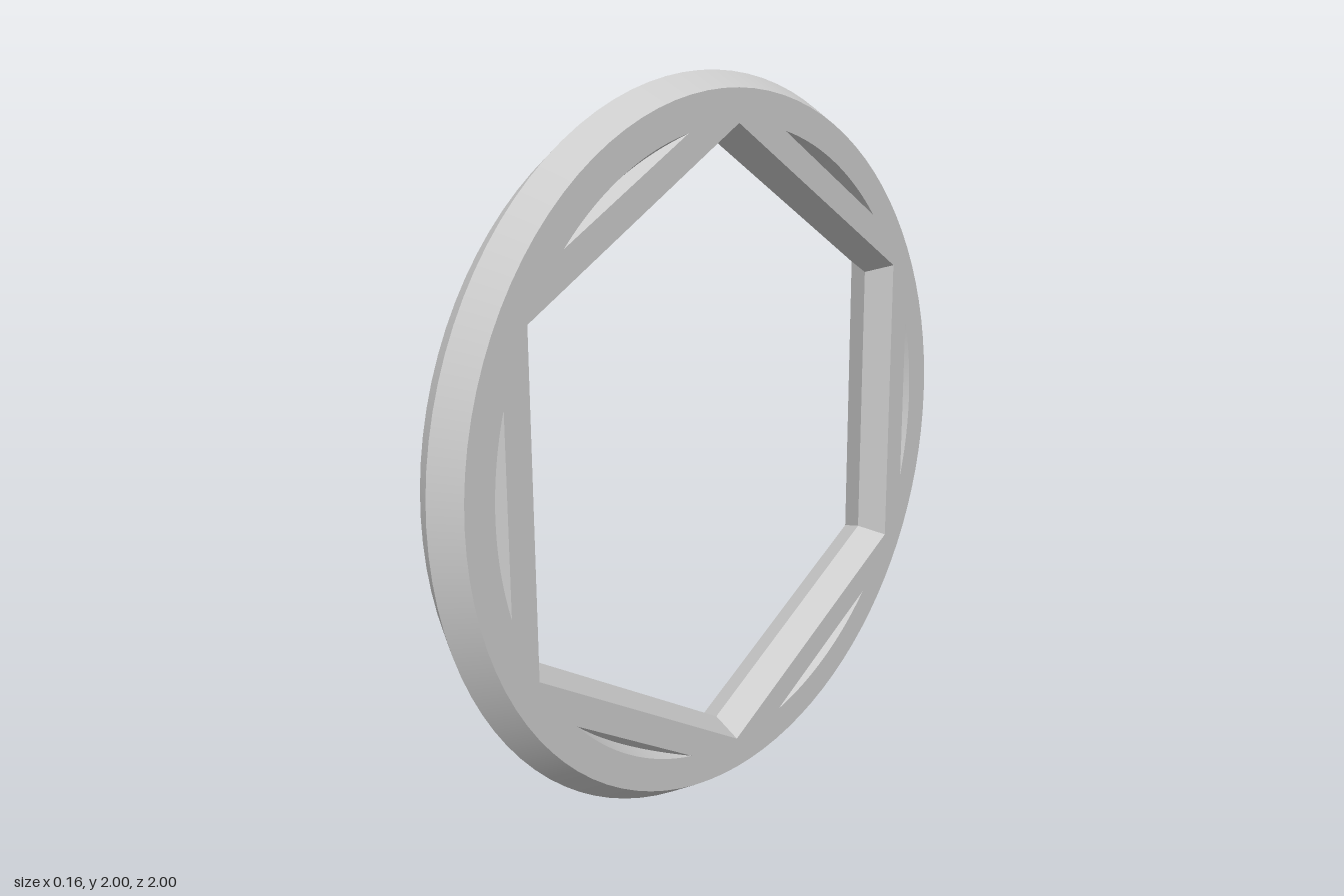
import * as THREE from 'three';

const HALF = 0.0775;               // half thickness
const RIM = 1, RIM_FACE = 0.955;   // outer radius at mid-plane and at the face
const HEX = 0.71, HEX_FACE = 0.75; // opening apothem at mid-plane and at the face
const ARC = 0.866, CHORD = 0.829;  // groove: outer arc radius and inner straight edge
const SLOPE = Math.tan(Math.PI / 6);
const SEG = 96, ARC_SEG = 24;

const material = new THREE.MeshStandardMaterial({ color: 0xcccccc });

function addMesh(parent, name, geometry) {
  const mesh = new THREE.Mesh(geometry, material);
  mesh.name = name;
  parent.add(mesh);
  return mesh;
}

// Ribbon of quads between two rows of points
function strip(rowA, rowB) {
  const n = rowA.length, index = [];
  for (let i = 0; i < n - 1; i++) index.push(i, n + i, n + i + 1, i, n + i + 1, i + 1);
  const g = new THREE.BufferGeometry().setFromPoints([...rowA, ...rowB]);
  g.setIndex(index);
  g.computeVertexNormals();
  return g;
}

// Closed hexagon with a corner at the top
function hexagon(apothem, z) {
  const r = apothem / Math.cos(Math.PI / 6);
  return Array.from({ length: 7 }, (_, i) => {
    const a = Math.PI / 2 + i * Math.PI / 3;
    return new THREE.Vector3(r * Math.cos(a), r * Math.sin(a), z);
  });
}

// Edge rows of one V-groove: arc, valley and straight chord
function grooveRows() {
  const end = Math.acos(CHORD / ARC), arc = [], valley = [], chord = [];
  for (let i = 0; i <= ARC_SEG; i++) {
    const a = -end + 2 * end * i / ARC_SEG, c = Math.cos(a), s = Math.sin(a);
    const depth = Math.max(0, (ARC * c - CHORD) / (SLOPE * (1 + c)));
    const r = ARC - SLOPE * depth;
    arc.push(new THREE.Vector3(ARC * c, ARC * s, HALF));
    valley.push(new THREE.Vector3(r * c, r * s, HALF - depth));
    chord.push(new THREE.Vector3(CHORD, CHORD * s / c, HALF));
  }
  return { arc, valley, chord };
}

// One half of the ring, facing +z
function createHalf() {
  const half = new THREE.Group();
  const { arc, valley, chord } = grooveRows();

  // Flat face with the hexagonal opening and groove cut-outs
  const outline = Array.from({ length: SEG }, (_, i) => {
    const a = i / SEG * Math.PI * 2;
    return new THREE.Vector2(RIM_FACE * Math.cos(a), RIM_FACE * Math.sin(a));
  });
  const shape = new THREE.Shape(outline);
  shape.holes.push(new THREE.Path(hexagon(HEX_FACE, 0).slice(0, 6).map(p => new THREE.Vector2(p.x, p.y))));
  for (let k = 0; k < 6; k++) {
    const origin = new THREE.Vector2();
    shape.holes.push(new THREE.Path(
      arc.map(p => new THREE.Vector2(p.x, p.y).rotateAround(origin, k * Math.PI / 3))));
  }
  addMesh(half, 'face', new THREE.ShapeGeometry(shape).translate(0, 0, HALF));

  // Sloped outer rim
  addMesh(half, 'outerRim', new THREE.CylinderGeometry(RIM_FACE, RIM, HALF, SEG, 1, true)
    .rotateX(Math.PI / 2).translate(0, 0, HALF / 2));

  // Sloped walls of the hexagonal opening
  const walls = strip(hexagon(HEX, 0), hexagon(HEX_FACE, HALF)).toNonIndexed();
  walls.computeVertexNormals();
  addMesh(half, 'hexagonWalls', walls);

  // Six crescent grooves
  const outerWall = strip(valley, arc), innerWall = strip(chord, valley);
  for (let k = 0; k < 6; k++) {
    const groove = new THREE.Group();
    groove.name = 'groove';
    groove.rotation.z = k * Math.PI / 3;
    addMesh(groove, 'grooveOuterWall', outerWall);
    addMesh(groove, 'grooveInnerWall', innerWall);
    half.add(groove);
  }
  return half;
}

export function createModel() {
  const model = new THREE.Group();
  model.name = 'hexagonRing';
  const ring = new THREE.Group();
  ring.name = 'ring';
  for (const side of [0, 1]) {
    const half = createHalf();
    half.name = side ? 'rightHalf' : 'leftHalf';
    half.rotation.y = side * Math.PI;
    ring.add(half);
  }
  // Stand the ring upright with its axis along x
  ring.rotation.y = Math.PI / 2;
  ring.position.y = 1;
  model.add(ring);
  return model;
}
